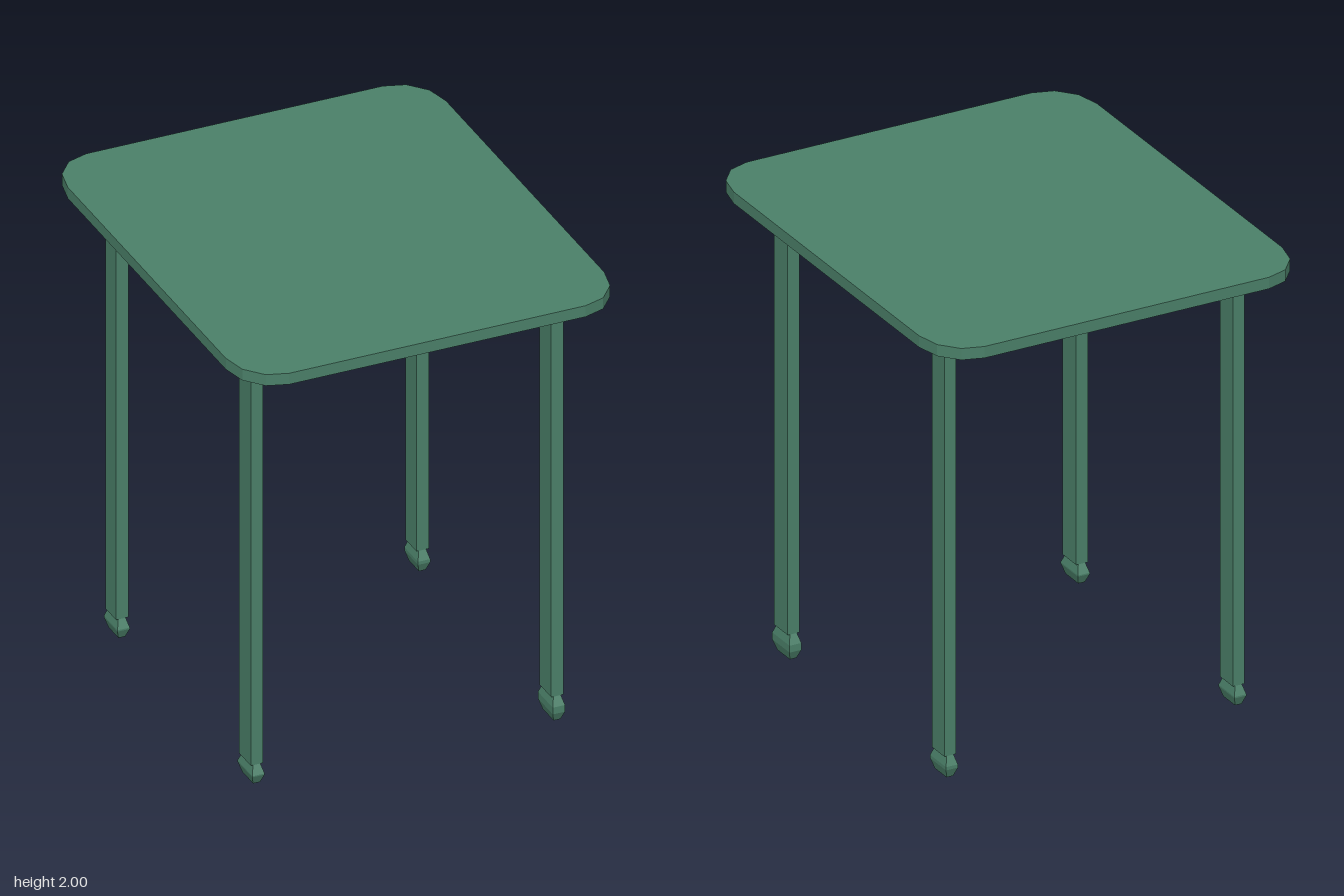
import * as THREE from 'three';

export function createModel() {
  const table = new THREE.Group();
  table.name = 'table';
  const material = new THREE.MeshStandardMaterial({ color: 0x4a7f68, flatShading: true });

  const add = (name, geometry) => {
    const mesh = new THREE.Mesh(geometry, material);
    mesh.name = name;
    table.add(mesh);
    return mesh;
  };
  // Box given by its extents along each axis
  const block = (name, [x0, x1], [y0, y1], [z0, z1]) =>
    add(name, new THREE.BoxGeometry(x1 - x0, y1 - y0, z1 - z0))
      .position.set((x0 + x1) / 2, (y0 + y1) / 2, (z0 + z1) / 2);

  // Tabletop: a slab with faceted round corners, one corner mirrored to four
  const corner = [[0.813, 0.74], [0.79, 0.845], [0.725, 0.922], [0.637, 0.95]];
  const flipped = [...corner].reverse();
  const outline = [
    ...corner,
    ...flipped.map(([x, y]) => [-x, y]),
    ...corner.map(([x, y]) => [-x, -y]),
    ...flipped.map(([x, y]) => [x, -y]),
  ].map(([x, y]) => new THREE.Vector2(x, y));
  const slab = new THREE.ExtrudeGeometry(new THREE.Shape(outline), { depth: 0.05, bevelEnabled: false });
  slab.rotateX(-Math.PI / 2);
  add('tabletop', slab).position.y = 1.95;

  // Foot: stacked rectangular sections that swell in the middle
  const foot = (name, x, z, width, depth, bottom) => {
    const levels = [[bottom, 0.55, 0.92], [bottom + 0.04, 1, 1.27], [0.07, 1, 1.27], [0.113, 0.55, 0.92]];
    const geometry = new THREE.BoxGeometry(1, 1, 1, 1, 3, 1);
    const p = geometry.attributes.position;
    for (let i = 0; i < p.count; i++) {
      const [y, sx, sz] = levels[Math.round((p.getY(i) + 0.5) * 3)];
      p.setXYZ(i, p.getX(i) * width * sx, y, p.getZ(i) * depth * sz);
    }
    geometry.computeVertexNormals();
    add(name, geometry).position.set(x, 0, z);
  };

  // Legs, each with its foot; the feet sit at slightly different heights
  const sides = { Left: [0.608, 0.661], Right: [-0.683, -0.63] };
  const ends = { front: [0.58, 0.69], back: [-0.672, -0.571] };
  const footBottom = { frontLeft: 0, frontRight: 0.025, backLeft: 0.016, backRight: 0.024 };
  for (const [end, z] of Object.entries(ends)) {
    for (const [side, x] of Object.entries(sides)) {
      block(`${end}${side}Leg`, x, [0.11, 1.95], z);
      foot(`${end}${side}Foot`, (x[0] + x[1]) / 2, (z[0] + z[1]) / 2,
        x[1] - x[0], z[1] - z[0], footBottom[end + side]);
    }
  }

  // Apron rails joining the legs under the top
  const height = [1.86, 1.95];
  for (const [end, z] of Object.entries(ends)) block(`${end}Rail`, [-0.63, 0.608], height, z);
  for (const [side, x] of Object.entries(sides)) block(`${side.toLowerCase()}Rail`, x, height, [-0.571, 0.58]);

  return table;
}
